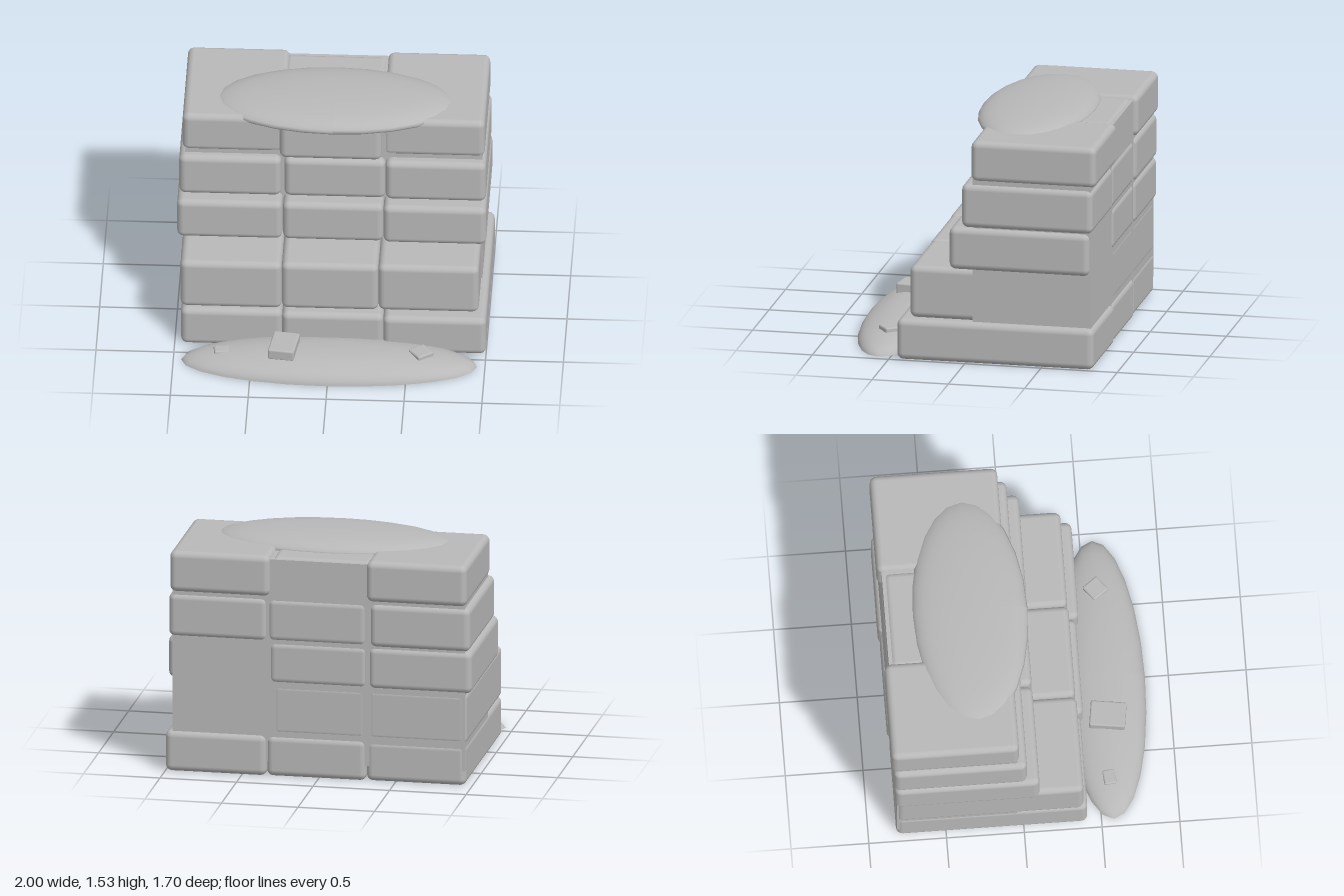
import * as THREE from 'three';
import { RoundedBoxGeometry } from 'three/addons/geometries/RoundedBoxGeometry.js';

export function createModel() {
  const model = new THREE.Group();
  model.name = 'steppedBlockWall';
  const stone = new THREE.MeshStandardMaterial({ color: 0xb8b8b8 });
  stone.name = 'grey stone';

  function add(name, geometry, x, y, z) {
    const mesh = new THREE.Mesh(geometry, stone);
    mesh.name = name;
    mesh.position.set(x, y, z);
    model.add(mesh);
    return mesh;
  }

  // rounded block given by its limits on each axis
  function block(name, x0, x1, y0, y1, z0, z1, radius = 0.042) {
    const g = new RoundedBoxGeometry(x1 - x0, y1 - y0, z1 - z0, 3, radius);
    return add(name, g, (x0 + x1) / 2, (y0 + y1) / 2, (z0 + z1) / 2);
  }

  // courses of three blocks, each block as [x0, x1, back, front]
  const courses = [
    { y: [0, 0.27], blocks: [[-0.96, -0.31, -0.82, 0.41], [-0.31, 0.34, -0.83, 0.43], [0.34, 1.0, -0.84, 0.45]] },
    { y: [0.27, 0.615], blocks: [[-0.965, -0.315, -0.817, 0.385], [-0.315, 0.305, -0.817, 0.38], [0.305, 0.95, -0.805, 0.375]] },
    { y: [0.615, 0.895], blocks: [[-1.0, -0.325, -0.83, 0.1], [-0.32, 0.325, -0.825, 0.1], [0.325, 0.985, -0.81, 0.11]] },
    { y: [0.895, 1.185], blocks: [[-0.99, -0.335, -0.835, 0.02], [-0.315, 0.335, -0.825, 0.02], [0.335, 0.98, -0.83, 0.03]] },
    { y: [1.2, 1.47], blocks: [[-0.97, -0.315, -0.85, -0.03], [0.315, 0.97, -0.85, -0.03]] },
  ];
  courses.forEach(({ y, blocks }, row) => blocks.forEach(([x0, x1, z0, z1], i) =>
    block(`course${row + 1}Block${i + 1}`, x0, x1, y[0], y[1], z0, z1)));
  block('topMiddleBlock', -0.345, 0.31, 1.185, 1.455, -0.81, 0.02);

  // plain core filling the gaps between the blocks
  add('core', new THREE.BoxGeometry(1.91, 1.3, 0.775), 0, 0.75, -0.4275);
  add('topCore', new THREE.BoxGeometry(0.8, 0.24, 0.785), 0, 1.325, -0.4275);

  // flattened oval mound from a smooth profile, stretched along x
  function mound(name, profile, rx, rz, x, y, z) {
    const curve = new THREE.SplineCurve(profile.map(p => new THREE.Vector2(...p)));
    const pts = curve.getPoints(16);
    pts.forEach(p => { p.x = Math.max(p.x, 0); });
    const g = new THREE.LatheGeometry(pts, 24);
    g.scale(rx, 1, rz);
    g.computeVertexNormals();
    return add(name, g, x, y, z);
  }
  mound('topMound', [[0, -0.07], [0.65, -0.066], [0.88, -0.045], [1, -0.01], [0.93, 0.025], [0.75, 0.052], [0.4, 0.07], [0, 0.075]],
    0.77, 0.37, 0, 1.455, -0.275);
  mound('groundMound', [[1, 0], [0.97, 0.025], [0.88, 0.055], [0.7, 0.083], [0.4, 0.108], [0, 0.116]],
    0.95, 0.27, 0, 0, 0.58);
  const base = new THREE.CircleGeometry(1, 24);
  base.rotateX(Math.PI / 2);
  base.scale(0.95, 1, 0.27);
  add('groundMoundBase', base, 0, 0, 0.58);

  // loose stones on the ground mound: x, z, width, depth, bottom, top, turn
  [
    [-0.29, 0.59, 0.17, 0.23, 0.09, 0.165, -0.14],
    [-0.69, 0.57, 0.1, 0.08, 0.04, 0.088, 0.12],
    [0.59, 0.575, 0.12, 0.12, 0.06, 0.112, 0.65],
  ].forEach(([x, z, w, d, y0, y1, turn], i) => {
    const g = new RoundedBoxGeometry(w, y1 - y0, d, 2, 0.012);
    add(`looseStone${i + 1}`, g, x, (y0 + y1) / 2, z).rotation.y = turn;
  });

  return model;
}
